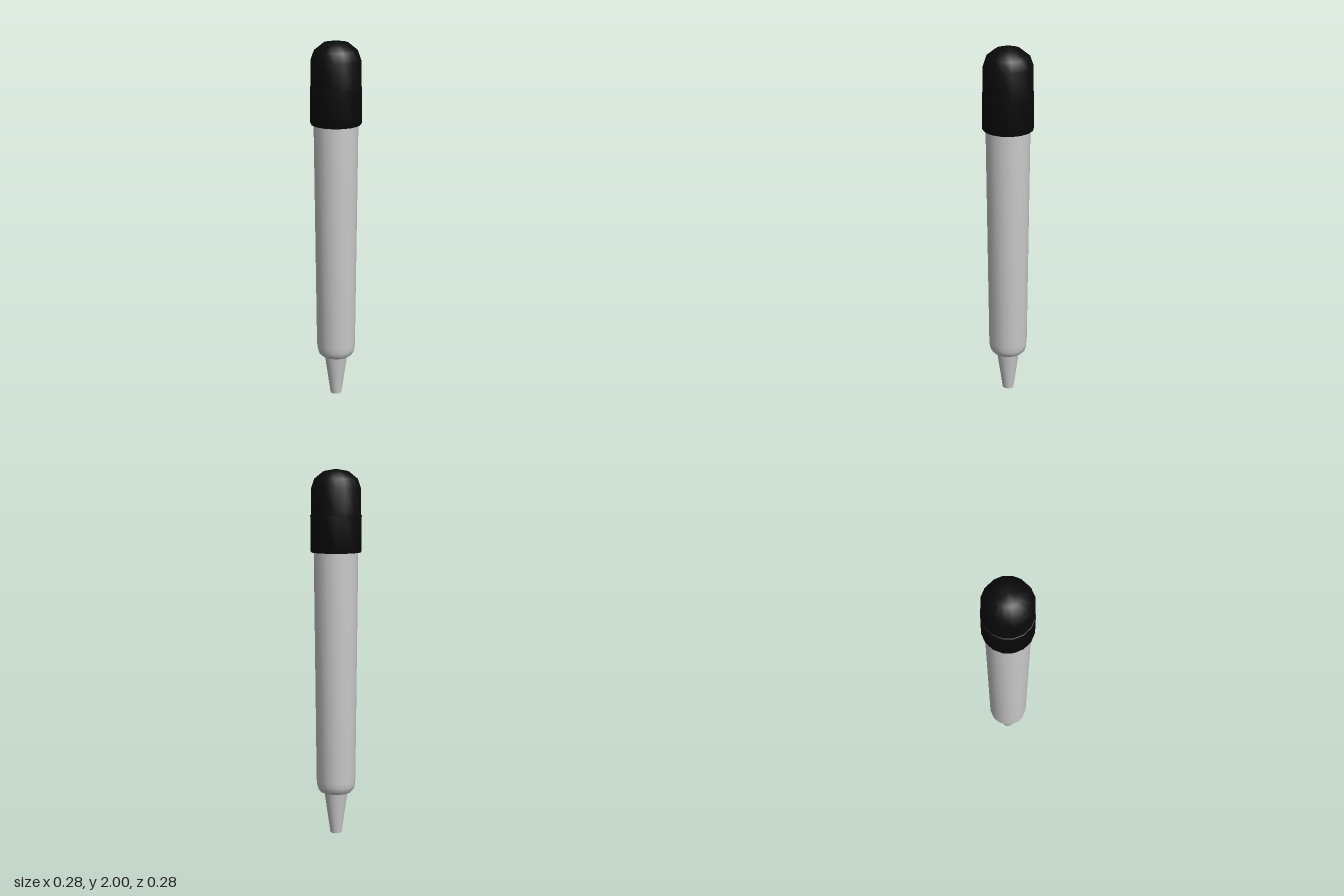
import * as THREE from 'three';
import { toCreasedNormals } from 'three/addons/utils/BufferGeometryUtils.js';

const SIDES = 16;

// Turn a [radius, height] profile (listed bottom to top) around the y axis.
function turned(name, profile, material) {
  const points = profile.map(([r, y]) => new THREE.Vector2(r, y));
  const geometry = toCreasedNormals(new THREE.LatheGeometry(points, SIDES), 0.8);
  const mesh = new THREE.Mesh(geometry, material);
  mesh.name = name;
  return mesh;
}

export function createModel() {
  const group = new THREE.Group();
  group.name = 'dropper';

  const glass = new THREE.MeshStandardMaterial({ color: 0xcccccc, side: THREE.DoubleSide });
  const rubber = new THREE.MeshStandardMaterial({ color: 0x0a0a0a });

  // Tapered nozzle with a closed end
  group.add(turned('nozzle', [[0, 0.004], [0.031, 0], [0.064, 0.23]], glass));

  // Long tube with a rounded shoulder, widening slightly towards the bulb
  group.add(turned('tube', [
    [0.062, 0.229], [0.083, 0.233], [0.097, 0.247], [0.104, 0.27], [0.107, 0.3],
    [0.12, 1.57],
  ], glass));

  // Collar gripping the tube
  group.add(turned('collar', [
    [0.117, 1.56], [0.134, 1.556], [0.138, 1.563], [0.138, 1.755], [0.132, 1.757],
  ], rubber));

  // Squeeze bulb with a domed top
  group.add(turned('bulb', [
    [0.134, 1.75], [0.134, 1.895], [0.116, 1.948], [0.066, 1.988], [0, 2],
  ], rubber));

  return group;
}
